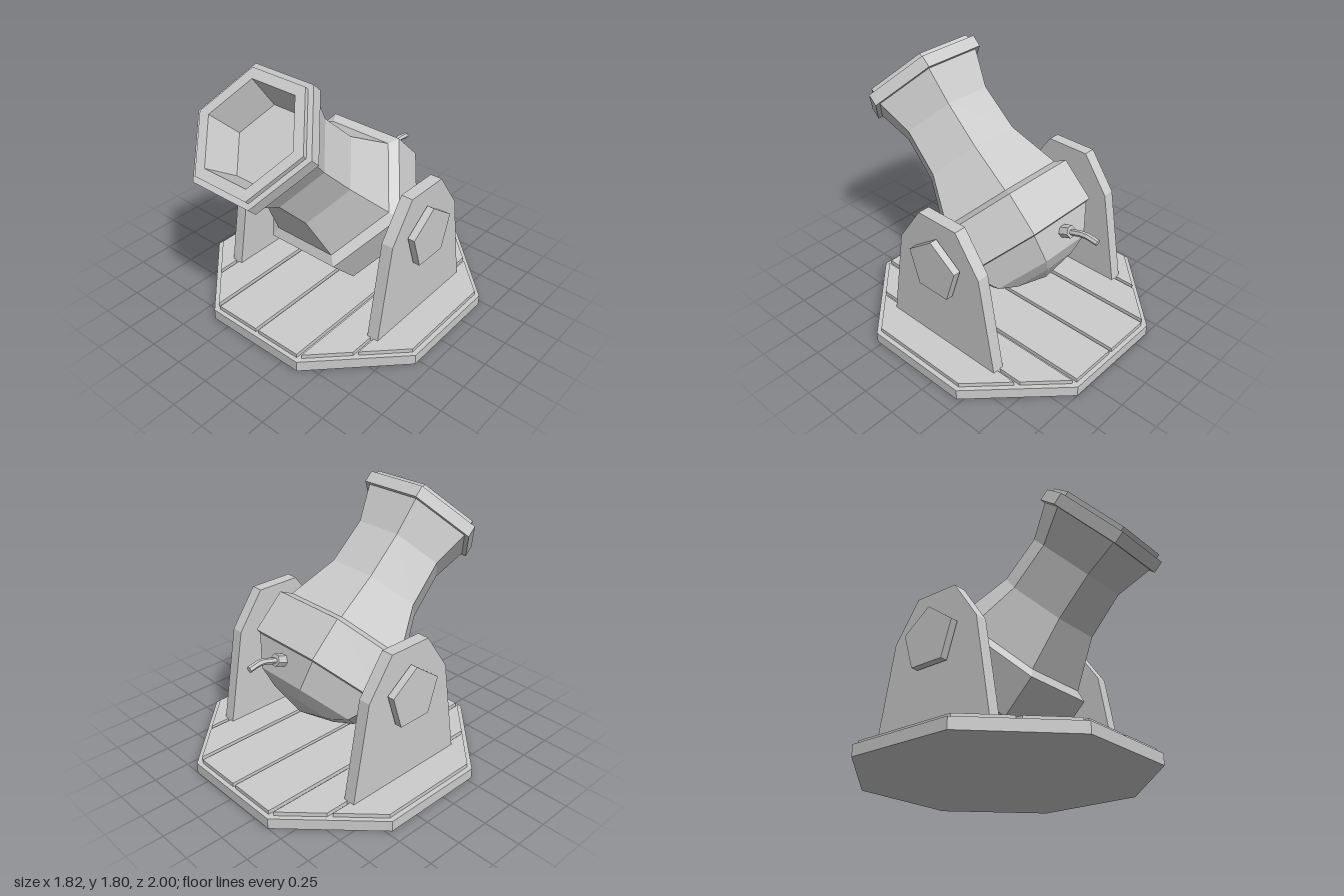
import * as THREE from 'three';

const material = new THREE.MeshStandardMaterial({ color: 0xcccccc, flatShading: true });
const PIVOT = { y: 0.71, z: -0.093 };

function addMesh(parent, name, geometry) {
  const mesh = new THREE.Mesh(geometry, material);
  mesh.name = name;
  parent.add(mesh);
  return mesh;
}

function extrude(points, depth) {
  const shape = new THREE.Shape(points.map(([a, b]) => new THREE.Vector2(a, b)));
  return new THREE.ExtrudeGeometry(shape, { depth, bevelEnabled: false });
}

// Slab with a [z, y] outline, spanning x0 to x1
function sideSlab(points, x0, x1) {
  return extrude(points, x1 - x0).rotateY(-Math.PI / 2).translate(x1, 0, 0);
}

// Pentagon with its point up, centred on the pivot
function pentagon(radius) {
  return Array.from({ length: 5 }, (_, i) => {
    const a = Math.PI / 2 + (i * Math.PI * 2) / 5;
    return [PIVOT.z + radius * Math.cos(a), PIVOT.y + radius * Math.sin(a)];
  });
}

function createBase() {
  const base = new THREE.Group();
  base.name = 'base';
  base.position.z = -0.09;

  const slab = new THREE.CylinderGeometry(0.985, 0.985, 0.075, 8);
  slab.rotateY(Math.PI / 8).translate(0, 0.0375, 0);
  addMesh(base, 'baseSlab', slab);

  // Planks clipped to a smaller octagon
  const apothem = 0.879;
  const reach = (x) => Math.min(apothem, apothem * Math.SQRT2 - x);
  for (const [x0, x1] of [[0.012, 0.35], [0.378, 0.609], [0.634, 0.877]]) {
    for (const side of [-1, 1]) {
      const a = side > 0 ? x0 : -x1;
      const b = side > 0 ? x1 : -x0;
      const ha = reach(Math.abs(a));
      const hb = reach(Math.abs(b));
      const plank = extrude([[a, -ha], [b, -hb], [b, hb], [a, ha]], 0.028);
      plank.rotateX(-Math.PI / 2).translate(0, 0.075, 0);
      addMesh(base, 'plank', plank);
    }
  }
  return base;
}

function createSupports() {
  const supports = new THREE.Group();
  supports.name = 'supports';
  const outline = [
    [0.37, 0.08], [0.247, 0.775], [0.064, 1.036],
    [-0.25, 1.036], [-0.434, 0.775], [-0.56, 0.08],
  ];
  for (const side of [-1, 1]) {
    const place = (points, x0, x1) =>
      side > 0 ? sideSlab(points, x0, x1) : sideSlab(points, -x1, -x0);
    addMesh(supports, 'sidePlate', place(outline, 0.582, 0.665));
    addMesh(supports, 'pivotCap', place(pentagon(0.207), 0.674, 0.724));
    addMesh(supports, 'trunnion', place(pentagon(0.11), 0.45, 0.69));
  }
  return supports;
}

function createBarrel() {
  // Hexagonal profile: [radius, distance along the axis from the pivot]
  const profile = [
    [0, -0.438], [0.24, -0.383], [0.378, -0.323], [0.512, -0.141], // breech
    [0.542, -0.135], [0.542, 0.155], [0.47, 0.187],          // band
    [0.35, 0.522], [0.338, 0.84], [0.415, 1.081],            // neck
    [0.451, 1.081], [0.451, 1.161], [0.411, 1.161],          // muzzle ring
    [0.411, 1.192], [0.336, 1.192], [0.277, 0.943], [0, 0.943], // lip and bore
  ].map(([r, s]) => new THREE.Vector2(r, s));
  const barrel = new THREE.Group();
  barrel.name = 'barrel';
  barrel.position.set(0, PIVOT.y, PIVOT.z - 0.008);
  barrel.rotation.x = Math.PI / 4 + 0.005;
  addMesh(barrel, 'barrelBody', new THREE.LatheGeometry(profile, 6, Math.PI / 2));
  return barrel;
}

function createFuse() {
  const fuse = new THREE.Group();
  fuse.name = 'fuse';
  // Holder pointing back and slightly up
  const holder = new THREE.CylinderGeometry(0.042, 0.042, 0.17, 6);
  holder.rotateY(Math.PI / 6).rotateX(-Math.PI / 2 + 0.36).translate(0, 0.834, -0.52);
  addMesh(fuse, 'fuseHolder', holder);

  // Drooping cord with a closed end
  const path = new THREE.CatmullRomCurve3([
    [-0.002, 0.85, -0.57], [0, 0.873, -0.64], [0, 0.89, -0.71], [-0.004, 0.876, -0.8],
  ].map((p) => new THREE.Vector3(...p)));
  addMesh(fuse, 'fuseCord', new THREE.TubeGeometry(path, 6, 0.021, 6));
  const end = path.getPoint(1);
  const tip = addMesh(fuse, 'fuseTip', new THREE.CircleGeometry(0.021, 6));
  tip.position.copy(end);
  tip.lookAt(end.clone().add(path.getTangent(1)));
  return fuse;
}

export function createModel() {
  const model = new THREE.Group();
  model.name = 'mortar';
  model.add(createBase(), createSupports(), createBarrel(), createFuse());
  return model;
}
